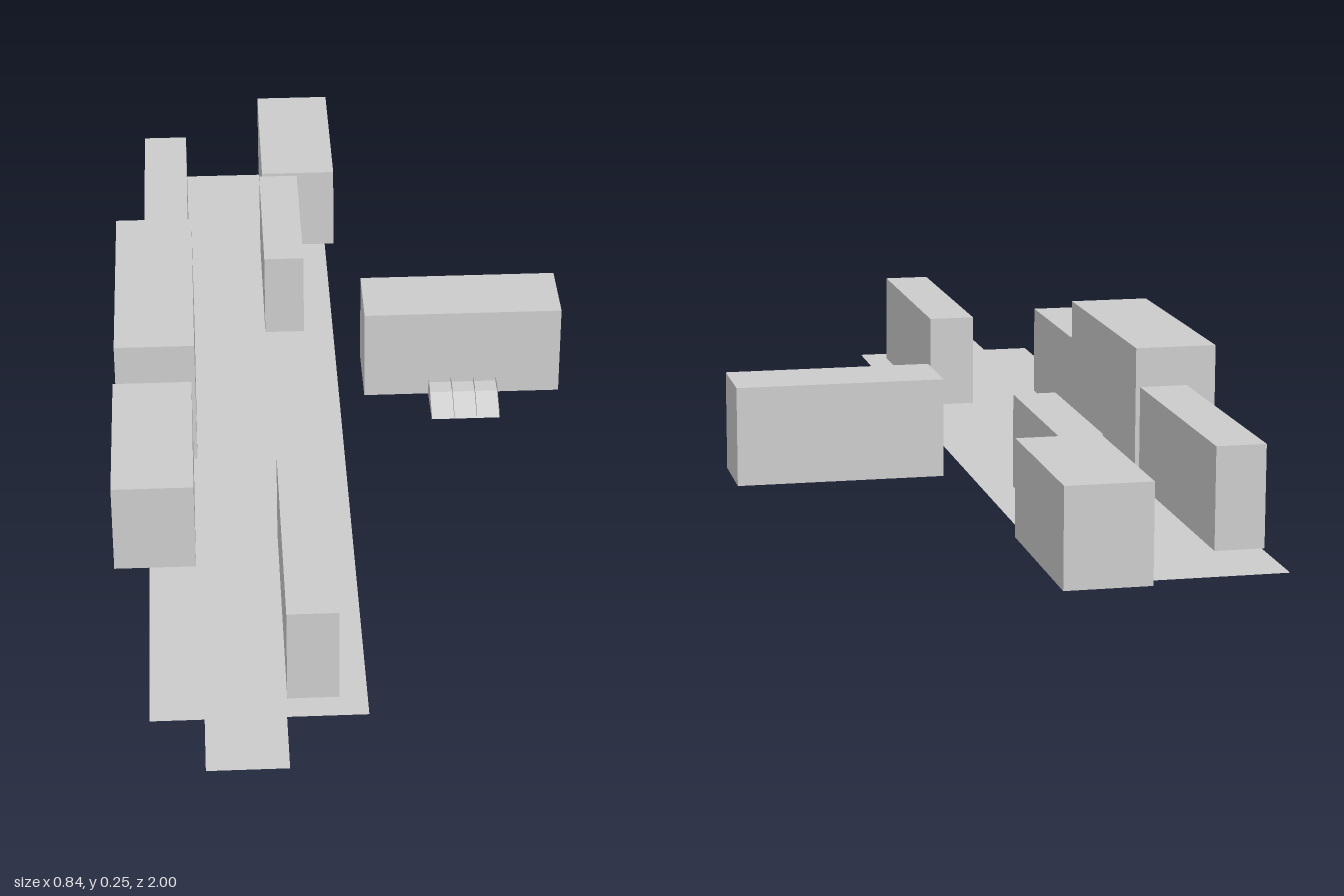
import * as THREE from 'three';

const grey = new THREE.MeshStandardMaterial({ color: 0xcccccc, flatShading: true });
const thin = new THREE.MeshStandardMaterial({ color: 0xcccccc, flatShading: true, side: THREE.DoubleSide });

function add(parent, name, geometry, material = grey) {
  const mesh = new THREE.Mesh(geometry, material);
  mesh.name = name;
  parent.add(mesh);
  return mesh;
}

// Flat shape from a list of corner pairs
const outline = (corners) => new THREE.ShapeGeometry(new THREE.Shape(corners.map(([a, b]) => new THREE.Vector2(a, b))));

// Box standing on the ground between two x and two z limits
function block(parent, name, x0, x1, z0, z1, height) {
  const geometry = new THREE.BoxGeometry(x1 - x0, height, z1 - z0);
  add(parent, name, geometry).position.set((x0 + x1) / 2, height / 2, (z0 + z1) / 2);
}

export function createModel() {
  const model = new THREE.Group();
  model.name = 'buildingBlocks';

  // Paved ground strip with a narrow tab at the front, drawn as (x, z)
  const ground = outline([
    [-0.36, -0.97], [0, -0.97], [0, 0.87], [-0.135, 0.87],
    [-0.135, 1], [-0.27, 1], [-0.27, 0.87], [-0.36, 0.87],
  ]).rotateX(Math.PI / 2);
  add(model, 'groundStrip', ground, thin);

  // Row of blocks on the right edge
  block(model, 'rearRightBlock', -0.365, -0.28, -0.82, -0.355, 0.175);
  block(model, 'tallBlock', -0.417, -0.272, -0.355, 0.108, 0.245);
  block(model, 'frontRightBlock', -0.422, -0.279, 0.108, 0.445, 0.168);

  // Row of blocks on the left edge
  block(model, 'frontLeftBlock', -0.133, -0.047, 0.355, 0.822, 0.173);
  block(model, 'middleLeftBlock', -0.133, -0.057, -0.66, -0.328, 0.166);
  block(model, 'rearLeftBlock', -0.127, 0.018, -1, -0.668, 0.168);

  // Detached block with an entrance ramp
  block(model, 'detachedBlock', 0.048, 0.419, -0.229, -0.09, 0.177);
  const entrance = new THREE.Group();
  entrance.name = 'entrance';
  model.add(entrance);

  const x0 = 0.17, x1 = 0.298;
  const landing = new THREE.PlaneGeometry(x1 - x0, 0.035).rotateX(-Math.PI / 2);
  add(entrance, 'landing', landing, thin).position.set((x0 + x1) / 2, 0.025, -0.0725);
  const ramp = new THREE.PlaneGeometry(x1 - x0, Math.hypot(0.055, 0.025)).rotateX(Math.atan2(0.025, 0.055) - Math.PI / 2);
  add(entrance, 'ramp', ramp, thin).position.set((x0 + x1) / 2, 0.0125, -0.0275);

  // Four upright fins dividing the ramp, drawn as (-z, y)
  const fin = outline([[0, 0], [0.09, 0], [0.09, 0.036], [0.055, 0.036], [0, 0.011]]).rotateY(Math.PI / 2);
  for (let i = 0; i < 4; i++) {
    add(entrance, 'rampFin', fin, thin).position.x = x0 + ((x1 - x0) * i) / 3;
  }
  return model;
}
